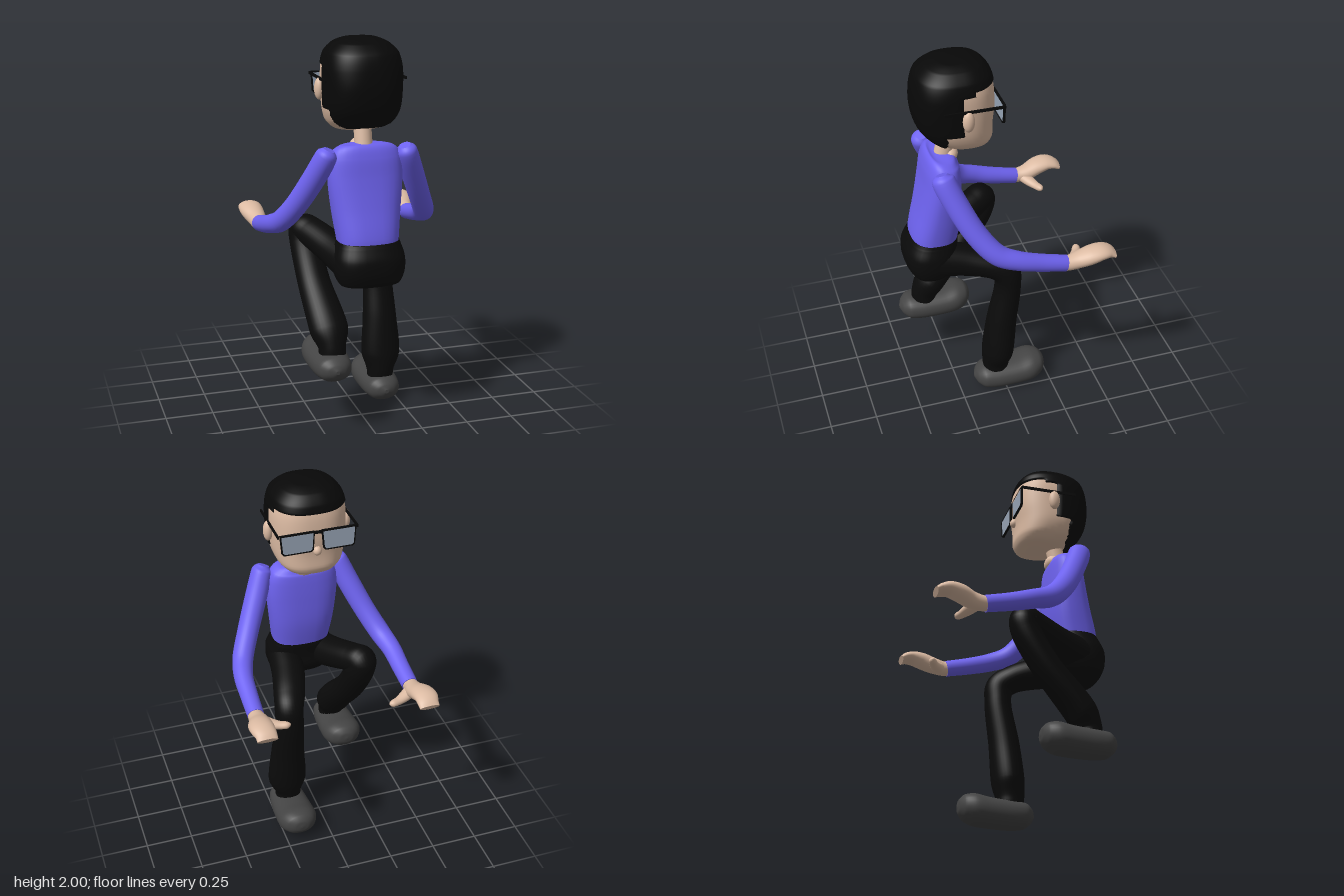
import * as THREE from 'three';

const mat = (color) => new THREE.MeshStandardMaterial({ color });
const V = (x, y, z) => new THREE.Vector3(x, y, z);

// Smooth skin over stations [x, y, z, halfWidth, halfDepth]; power sets how boxy each ring is.
function loft(stations, { rings = 40, sides = 32, power = 2, ref = V(1, 0, 0), tangent = null, warp = null } = {}) {
  const path = new THREE.CatmullRomCurve3(stations.map((s) => V(s[0], s[1], s[2])));
  const size = new THREE.CatmullRomCurve3(stations.map((s, i) => V(s[3], s[4], i * 0.05)));
  const pos = [], idx = [];
  for (let i = 0; i <= rings; i++) {
    const c = path.getPoint(i / rings), r = size.getPoint(i / rings);
    const t = tangent || path.getTangent(i / rings);
    const s = ref.clone().addScaledVector(t, -ref.dot(t)).normalize();
    const n = t.clone().cross(s);
    for (let j = 0; j < sides; j++) {
      const a = (j / sides) * Math.PI * 2, cs = Math.cos(a), sn = Math.sin(a);
      const p = c.clone()
        .addScaledVector(s, Math.sign(cs) * Math.abs(cs) ** (2 / power) * Math.max(r.x, 0.002))
        .addScaledVector(n, Math.sign(sn) * Math.abs(sn) ** (2 / power) * Math.max(r.y, 0.002));
      if (warp) warp(p);
      pos.push(p.x, p.y, p.z);
      if (i < rings) {
        const k = i * sides, j2 = (j + 1) % sides;
        idx.push(k + j, k + j2, k + sides + j, k + j2, k + sides + j2, k + sides + j);
      }
    }
  }
  // flat end caps with their own vertices
  for (const end of [0, rings]) {
    const base = pos.length / 3, k = end * sides * 3;
    const ring = pos.slice(k, k + sides * 3);
    const c = path.getPoint(end / rings);
    if (warp) warp(c);
    pos.push(...ring, c.x, c.y, c.z);
    for (let j = 0; j < sides; j++) {
      const a = base + j, b = base + ((j + 1) % sides);
      idx.push(base + sides, ...(end ? [a, b] : [b, a]));
    }
  }
  const g = new THREE.BufferGeometry();
  g.setAttribute('position', new THREE.Float32BufferAttribute(pos, 3));
  g.setIndex(idx);
  g.computeVertexNormals();
  return g;
}

export function createModel() {
  const model = new THREE.Group();
  const skin = mat(0xdcbba3), shirt = mat(0x6e63f0), pants = mat(0x0a0a0a);
  const hairMat = mat(0x080808), shoe = mat(0x444444), lensMat = mat(0x9aa7b8);
  const add = (name, geo, material, parent = model) => {
    const m = new THREE.Mesh(geo, material);
    m.name = name;
    parent.add(m);
    return m;
  };
  const ball = (name, material, p, s) => {
    const m = add(name, new THREE.SphereGeometry(1, 24, 16), material);
    m.position.set(...p);
    m.scale.set(...s);
  };
  const mirror = (list) => list.map(([x, ...rest]) => [-x, ...rest]);

  // Torso and hips
  add('torso', loft([
    [0, 0.95, 0.345, 0.15, 0.11], [0, 1.0, 0.34, 0.155, 0.12], [0, 1.15, 0.31, 0.175, 0.115],
    [0, 1.3, 0.295, 0.19, 0.1], [0, 1.4, 0.29, 0.185, 0.09], [0, 1.45, 0.285, 0.165, 0.08],
    [0, 1.475, 0.28, 0.12, 0.06], [0, 1.48, 0.28, 0.03, 0.02],
  ], { power: 2.6 }), shirt);
  add('hips', loft([
    [0, 0.77, 0.37, 0.1, 0.06], [0, 0.785, 0.37, 0.155, 0.1], [0, 0.85, 0.36, 0.18, 0.138],
    [0, 0.92, 0.36, 0.18, 0.138], [0, 0.98, 0.345, 0.164, 0.128], [0, 1.0, 0.34, 0.158, 0.122],
  ], { power: 2.6, tangent: V(0, 1, 0) }), pants);

  // Neck and open neckline
  add('neck', loft([
    [0, 1.42, 0.275, 0.05, 0.05], [0, 1.48, 0.265, 0.045, 0.048], [0, 1.62, 0.235, 0.045, 0.045],
  ]), skin);
  ball('neckline', skin, [0, 1.465, 0.235], [0.06, 0.04, 0.04]);

  // Head, with the hair as a slightly larger shell that sinks inside wherever skin shows
  const headRings = [
    [0, 1.53, 0.14, 0.06, 0.05], [0, 1.54, 0.15, 0.12, 0.105], [0, 1.58, 0.18, 0.165, 0.155],
    [0, 1.65, 0.21, 0.188, 0.185], [0, 1.75, 0.217, 0.194, 0.202], [0, 1.85, 0.217, 0.193, 0.198],
    [0, 1.92, 0.215, 0.175, 0.18], [0, 1.965, 0.21, 0.13, 0.135], [0, 1.985, 0.21, 0.08, 0.08],
    [0, 1.992, 0.21, 0.01, 0.01],
  ];
  const up = V(0, 1, 0), centre = V(0, 1.75, 0.2);
  add('head', loft(headRings, { power: 2.5, tangent: up, sides: 48 }), skin);
  const isHair = ({ y, z }) => y > 1.885 || (z > 0.14 && y > 1.86)
    || (z > 0.21 && y > 1.65) || (z > 0.285 && y > 1.56);
  add('hair', loft(headRings, {
    power: 2.5, tangent: up, rings: 90, sides: 96,
    warp: (p) => p.sub(centre).multiplyScalar(isHair(p.clone().add(centre)) ? 1.03 : 0.94).add(centre),
  }), hairMat);
  ball('nose', skin, [0, 1.685, 0.02], [0.022, 0.025, 0.022]);

  // Glasses
  const glasses = new THREE.Group();
  glasses.name = 'glasses';
  model.add(glasses);
  const outline = (Kind, w, h) => {
    const s = new Kind();
    s.moveTo(-w, h); s.lineTo(w, h); s.lineTo(w * 0.9, -h * 0.8);
    s.lineTo(w * 0.78, -h); s.lineTo(-w * 0.82, -h); s.lineTo(-w * 0.93, -h * 0.8);
    s.closePath();
    return s;
  };
  for (const side of [-1, 1]) {
    const rim = outline(THREE.Shape, 0.09, 0.056);
    rim.holes.push(outline(THREE.Path, 0.083, 0.049));
    const parts = [
      add('rim', new THREE.ExtrudeGeometry(rim, { depth: 0.012, bevelEnabled: false }), hairMat, glasses),
      add('lens', new THREE.ExtrudeGeometry(outline(THREE.Shape, 0.085, 0.051), { depth: 0.005, bevelEnabled: false }), lensMat, glasses),
    ];
    parts.forEach((m, i) => m.position.set(side * 0.108, 1.748, 0.003 + i * 0.003));
    add('temple', new THREE.BoxGeometry(0.008, 0.014, 0.305), hairMat, glasses)
      .position.set(side * 0.205, 1.797, 0.158);
    ball('ear', skin, [side * 0.205, 1.745, 0.19], [0.025, 0.055, 0.03]);
  }
  add('bridge', new THREE.BoxGeometry(0.05, 0.012, 0.012), hairMat, glasses).position.set(0, 1.795, 0.009);

  // Arms and hands, mirrored
  const sleeve = [
    [0.195, 1.465, 0.33, 0.03, 0.03], [0.205, 1.44, 0.325, 0.053, 0.058], [0.25, 1.33, 0.28, 0.058, 0.06],
    [0.33, 1.16, 0.19, 0.056, 0.058], [0.385, 1.06, 0.1, 0.055, 0.055], [0.41, 1.02, 0, 0.05, 0.05],
    [0.415, 0.985, -0.12, 0.046, 0.046], [0.418, 0.955, -0.25, 0.043, 0.043],
  ];
  const hand = [
    [0.418, 0.955, -0.23, 0.038, 0.038], [0.42, 0.955, -0.27, 0.042, 0.04], [0.42, 0.965, -0.32, 0.052, 0.042],
    [0.43, 0.988, -0.38, 0.062, 0.042], [0.432, 1.0, -0.43, 0.062, 0.035], [0.427, 0.995, -0.47, 0.056, 0.027],
    [0.427, 0.98, -0.5, 0.053, 0.018],
  ];
  const thumb = [
    [0.42, 0.955, -0.285, 0.03, 0.035], [0.37, 0.94, -0.315, 0.026, 0.033], [0.32, 0.933, -0.34, 0.02, 0.024],
    [0.285, 0.935, -0.354, 0.018, 0.02], [0.27, 0.936, -0.358, 0.01, 0.01], [0.266, 0.936, -0.36, 0.003, 0.003],
  ];
  for (const [side, flip] of [['left', (l) => l], ['right', mirror]]) {
    add(side + 'Sleeve', loft(flip(sleeve)), shirt);
    add(side + 'Hand', loft(flip(hand)), skin);
    add(side + 'Thumb', loft(flip(thumb), { ref: up, rings: 20, sides: 20 }), skin);
  }

  // Trouser legs: one planted forward, one raised with a folded knee
  add('plantedLeg', loft([
    [0.09, 0.88, 0.36, 0.09, 0.1], [0.11, 0.855, 0.2, 0.09, 0.085], [0.15, 0.815, 0.05, 0.085, 0.073],
    [0.17, 0.77, -0.01, 0.078, 0.076], [0.172, 0.68, -0.02, 0.078, 0.07], [0.175, 0.45, 0.015, 0.092, 0.08],
    [0.175, 0.26, 0.035, 0.105, 0.085], [0.17, 0.17, 0.045, 0.075, 0.075], [0.17, 0.13, 0.045, 0.07, 0.07],
  ], { rings: 60 }), pants);
  add('raisedLeg', loft([
    [-0.09, 0.88, 0.37, 0.09, 0.1], [-0.14, 0.92, 0.22, 0.087, 0.085], [-0.21, 0.97, 0.06, 0.082, 0.077],
    [-0.24, 0.98, 0.005, 0.08, 0.077], [-0.237, 0.92, 0.015, 0.082, 0.077], [-0.225, 0.74, 0.125, 0.085, 0.075],
    [-0.195, 0.53, 0.31, 0.1, 0.082], [-0.19, 0.45, 0.35, 0.072, 0.072], [-0.19, 0.41, 0.355, 0.07, 0.07],
  ], { rings: 60 }), pants);

  // Shoes, toes toward -z
  const shoeGeo = loft([
    [0, 0.075, 0.17, 0.01, 0.01], [0, 0.075, 0.155, 0.05, 0.037], [0, 0.075, 0.12, 0.085, 0.065],
    [0, 0.073, 0.05, 0.1, 0.072], [0, 0.08, -0.08, 0.108, 0.075], [0, 0.09, -0.15, 0.105, 0.078],
    [0, 0.097, -0.2, 0.08, 0.062], [0, 0.1, -0.225, 0.04, 0.032], [0, 0.1, -0.23, 0.005, 0.005],
  ], { tangent: V(0, 0, -1), power: 2.2 });
  add('plantedShoe', shoeGeo, shoe).position.set(0.17, 0, 0);
  add('raisedShoe', shoeGeo, shoe).position.set(-0.2, 0.285, 0.325);
  return model;
}
